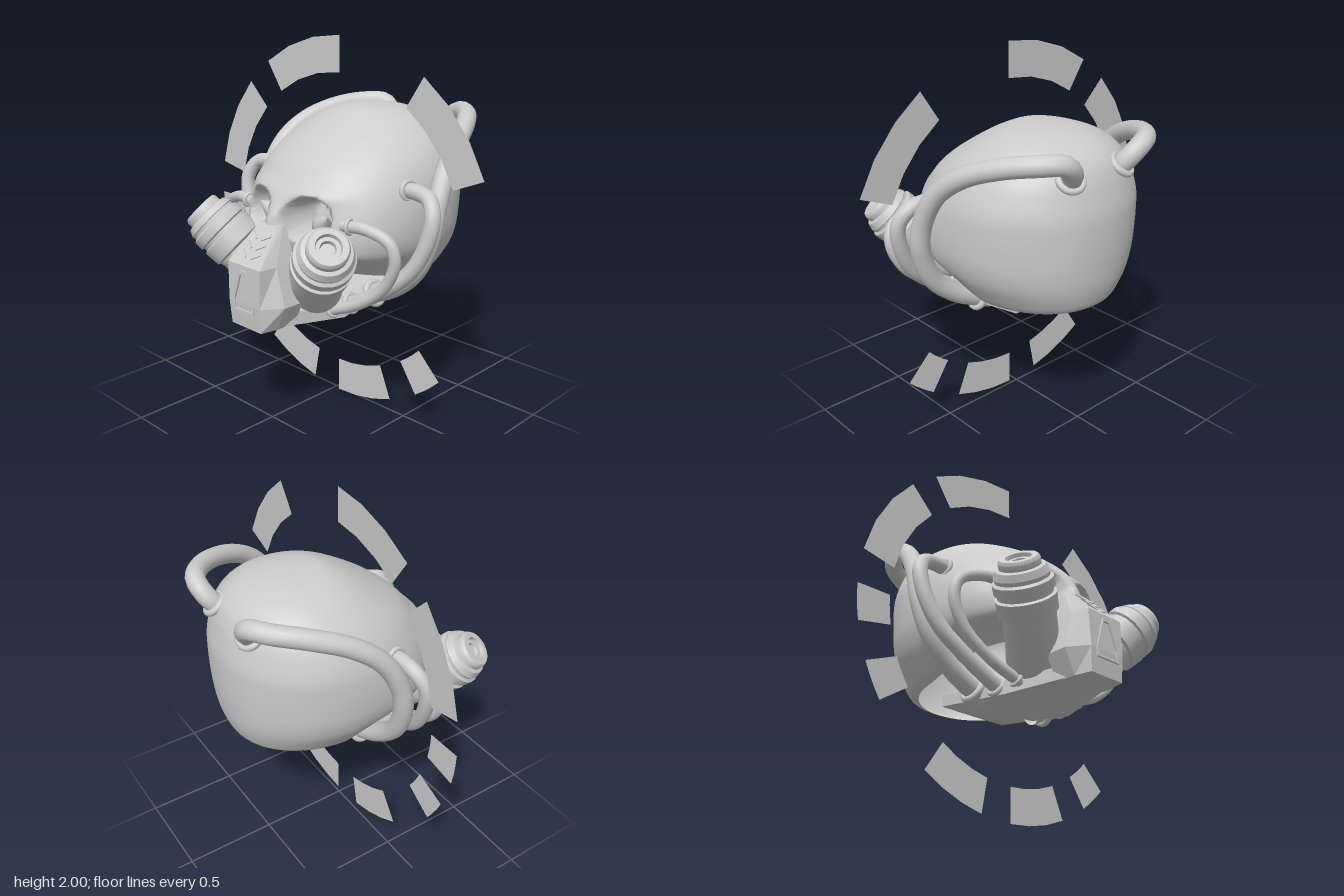
import * as THREE from 'three';
import { toCreasedNormals } from 'three/addons/utils/BufferGeometryUtils.js';

const grey = new THREE.MeshStandardMaterial({ color: 0xcccccc, side: THREE.DoubleSide });
const V = (x, y, z) => new THREE.Vector3(x, y, z);
const { lerp, smoothstep, degToRad } = THREE.MathUtils;

function add(parent, name, geometry) {
  const mesh = new THREE.Mesh(geometry, grey);
  mesh.name = name;
  parent.add(mesh);
  return mesh;
}

// Skin a stack of closed loops (counter-clockwise seen from the last loop).
// Solid lofts are faceted and capped at both ends; the others are smooth and open at the first loop.
function loft(rings, solid) {
  const n = rings[0].length, pos = [], index = [];
  const centre = r => r.reduce((s, p) => s.add(p), V(0, 0, 0)).divideScalar(n);
  rings.forEach(r => r.forEach(p => pos.push(p.x, p.y, p.z)));
  const last = rings.length - 1, c0 = rings.length * n, c1 = c0 + 1;
  pos.push(...centre(rings[0]).toArray(), ...centre(rings[last]).toArray());
  for (let i = 0; i < n; i++) {
    const j = (i + 1) % n;
    for (let k = 0; k < last; k++) {
      const a = k * n + i, b = k * n + j;
      index.push(a, b, b + n, a, b + n, a + n);
    }
    index.push(c1, last * n + i, last * n + j);
    if (solid) index.push(c0, j, i);
  }
  let g = new THREE.BufferGeometry();
  g.setAttribute('position', new THREE.Float32BufferAttribute(pos, 3));
  g.setIndex(index);
  if (solid) g = g.toNonIndexed();
  g.computeVertexNormals();
  return g;
}

// Skull: horizontal loops [y, back z, front z, half width], then eye sockets and bumps.
function skullGeometry() {
  const levels = [
    [0.73, -0.57, 0.35, 0.36], [0.76, -0.63, 0.38, 0.395], [0.82, -0.66, 0.41, 0.44],
    [0.9, -0.68, 0.43, 0.49], [0.99, -0.69, 0.44, 0.52], [1.08, -0.695, 0.45, 0.53],
    [1.18, -0.695, 0.44, 0.53], [1.27, -0.69, 0.405, 0.52], [1.36, -0.67, 0.345, 0.49],
    [1.44, -0.645, 0.25, 0.445], [1.51, -0.605, 0.145, 0.38], [1.57, -0.53, 0.045, 0.3],
    [1.61, -0.43, -0.035, 0.2], [1.63, -0.32, -0.09, 0.11], [1.638, -0.19, -0.15, 0.02]];
  const curve = f => new THREE.CatmullRomCurve3(levels.map(f), false, 'catmullrom', 0.5);
  const size = curve(l => V(l[1], l[2], l[3])), height = curve(l => V(l[0], 0, 0));
  const rows = 110, cols = 200, rings = [];
  const pow = (v, e) => Math.sign(v) * Math.abs(v) ** e;
  for (let r = 0; r <= rows; r++) {
    const s = size.getPoint(r / rows), y = height.getPoint(r / rows).x, ring = [];
    // the temples narrow towards the crown
    const high = smoothstep(y, 1.0, 1.35), mid = lerp(s.x, s.y, lerp(0.5, 0.46, high));
    for (let c = 0; c < cols; c++) {
      const a = c / cols * Math.PI * 2, front = Math.cos(a) > 0;
      const e = front ? lerp(0.78, 0.93, high) : 0.95;
      const x = s.z * pow(Math.sin(a), e);
      let z = mid + (front ? s.y - mid : mid - s.x) * pow(Math.cos(a), e);
      // the lower rim rises towards the face
      const lift = Math.max(0, z + 0.2) * 0.24 * (1 - smoothstep(y, 0.73, 1.0));
      if (front && z > 0.1) {
        const ax = Math.abs(x);
        const bump = (px, py, w, h) => Math.exp(-(((ax - px) / w) ** 2) - ((y - py) / h) ** 2);
        z += 0.085 * bump(0, 1.09, 0.085, 0.13) + 0.03 * bump(0.17, 1.25, 0.16, 0.05)
          + 0.04 * bump(0.27, 0.98, 0.09, 0.06);
        const d = Math.hypot((ax - 0.17) / 0.125, (y - 1.13) / 0.12);
        z -= 0.2 * (1 - smoothstep(d, 0.75, 1));
      }
      ring.push(V(x, y + lift, z));
    }
    rings.push(ring);
  }
  return loft(rings, false);
}

function addMask(group) {
  const mask = new THREE.Group();
  mask.name = 'mask';
  group.add(mask);
  // faceted snout: [y, half width, front half width, side z, front z]
  const levels = [[0.59, 0.13, 0.11, 0.6, 0.69], [0.72, 0.19, 0.115, 0.6, 0.7],
    [0.92, 0.135, 0.12, 0.6, 0.695], [1.1, 0.075, 0.065, 0.5, 0.53]];
  add(mask, 'maskShell', loft(levels.map(([y, w, f, zs, zf]) => [
    V(f, y, zf), V(w, y, zs), V(w, y, 0.48), V(-w, y, 0.48), V(-w, y, zs), V(-f, y, zf)]), true));
  // tapered frame on the front
  const outline = (k, b, t) => [[-0.078 * k, b], [0.078 * k, b], [0.078 * k, b + 0.05],
    [0.022 * k, t], [-0.022 * k, t], [-0.078 * k, b + 0.05]].map(p => new THREE.Vector2(...p));
  const shape = new THREE.Shape(outline(1, 0.675, 0.895));
  shape.holes.push(new THREE.Path(outline(0.82, 0.69, 0.875)));
  add(mask, 'frontFrame', new THREE.ExtrudeGeometry(shape, { depth: 0.02, bevelEnabled: false }))
    .position.z = 0.687;
  // slanted breathing slats
  for (const s of [-1, 1]) for (let i = 0; i < 3; i++) {
    const y = 0.965 + i * 0.04;
    const slat = add(mask, 'slat', new THREE.BoxGeometry(0.06, 0.012, 0.012));
    slat.position.set(s * 0.043, y, 0.693 - (y - 0.92) * 0.91);
    slat.rotation.set(-0.74, 0, s * 0.6);
  }
  // keel plate under the jaw: [z, half width, edge y, keel y, top y]
  const keel = [[-0.28, 0.22, 0.65, 0.648, 0.71], [0.22, 0.235, 0.575, 0.5, 0.64],
    [0.62, 0.11, 0.598, 0.59, 0.67]];
  add(mask, 'jawPlate', loft(keel.map(([z, w, e, k, t]) => [
    V(-w, e, z), V(0, k, z), V(w, e, z), V(w, t, z), V(-w, t, z)]), true));
}

// Banded filter canister turned about its own axis, cap centre at the origin
function canisterGeometry() {
  const profile = [[0, -0.3], [0.135, -0.3], [0.135, -0.285], [0.15, -0.275], [0.155, -0.19],
    [0.14, -0.183], [0.14, -0.165], [0.153, -0.158], [0.153, -0.11], [0.137, -0.1], [0.137, -0.085],
    [0.141, -0.08], [0.125, -0.045], [0.105, -0.04], [0.105, -0.01], [0.095, 0.005], [0.065, 0.005],
    [0.06, -0.015], [0.04, -0.015], [0.035, -0.035], [0, -0.035]];
  return toCreasedNormals(new THREE.LatheGeometry(profile.map(p => new THREE.Vector2(...p)), 40), 0.6);
}

const hoses = [
  { name: 'largeHose', r: 0.052, path: [[0.16, 1.4, -0.55], [0.195, 1.5, -0.635], [0.27, 1.565, -0.655],
    [0.37, 1.57, -0.59], [0.47, 1.545, -0.45], [0.55, 1.475, -0.27], [0.595, 1.36, -0.125],
    [0.615, 1.2, -0.035], [0.61, 1.04, 0], [0.54, 0.86, 0.015], [0.4, 0.73, 0.01], [0.17, 0.62, 0]] },
  { name: 'mediumHose', r: 0.04, path: [[0.44, 1.265, 0.03], [0.54, 1.27, 0.04], [0.63, 1.25, 0.05],
    [0.68, 1.17, 0.08], [0.66, 1.03, 0.1], [0.58, 0.88, 0.12], [0.45, 0.765, 0.145],
    [0.3, 0.67, 0.16], [0.18, 0.615, 0.16]] },
  { name: 'smallHose', r: 0.03, path: [[0.33, 1.12, 0.34], [0.47, 1.12, 0.315], [0.585, 1.07, 0.285],
    [0.61, 0.98, 0.27], [0.54, 0.83, 0.265], [0.39, 0.71, 0.28], [0.18, 0.62, 0.3]] }];

function addHose(group, { name, r, path }, s) {
  const hose = new THREE.Group();
  hose.name = name;
  group.add(hose);
  const curve = new THREE.CatmullRomCurve3(path.map(([x, y, z]) => V(s * x, y, z)));
  add(hose, 'tube', new THREE.TubeGeometry(curve, 60, r, 16));
  // collars where the hose enters the skull and the jaw plate
  for (const t of [0.045, 0.955]) {
    const collar = add(hose, 'collar', new THREE.TorusGeometry(r * 1.15, r * 0.35, 10, 24));
    collar.position.copy(curve.getPointAt(t));
    collar.quaternion.setFromUnitVectors(V(0, 0, 1), curve.getTangentAt(t));
  }
}

export function createModel() {
  const model = new THREE.Group();
  model.name = 'maskedSkull';
  const body = new THREE.Group();
  body.name = 'body';
  body.position.x = 0.037;
  model.add(body);

  add(body, 'skull', skullGeometry());
  addMask(body);

  const canister = canisterGeometry();
  const drop = [[0, -0.05], [0.032, -0.042], [0.05, -0.015], [0.046, 0.015], [0.025, 0.06], [0, 0.095]];
  const eye = new THREE.LatheGeometry(drop.map(p => new THREE.Vector2(...p)), 24);
  for (const s of [-1, 1]) {
    // teardrop eyes
    const e = add(body, 'eye', eye);
    e.position.set(s * 0.18, 1.09, 0.33);
    e.quaternion.setFromUnitVectors(V(0, 1, 0), V(s * 0.72, 0.6, 0.35).normalize());
    // filters on a bent neck that rounds off against the mask
    const axis = V(s * 0.62, 0.68, 0.39).normalize();
    const c = add(body, 'filter', canister);
    c.position.set(s * 0.48, 1.1, 0.585);
    c.quaternion.setFromUnitVectors(V(0, 1, 0), axis);
    const end = V(s * 0.16, 0.76, 0.35);
    const bend = new THREE.QuadraticBezierCurve3(
      c.position.clone().addScaledVector(axis, -0.27), c.position.clone().addScaledVector(axis, -0.38), end);
    add(body, 'filterNeck', new THREE.TubeGeometry(bend, 12, 0.134, 32));
    add(body, 'filterElbow', new THREE.SphereGeometry(0.134, 32, 20)).position.copy(end);
    hoses.forEach(h => addHose(body, h, s));
  }

  // broken ring of flat plates around the head: [start in degrees, steps of 11.25 degrees]
  const ring = new THREE.Group();
  ring.name = 'brokenRing';
  ring.position.set(0, 1, 0.02);
  body.add(ring);
  const step = Math.PI / 16;
  for (const [start, n] of [[22.5, 3], [90, 3], [135, 3], [180, 1], [202.5, 1], [236.25, 2], [270, 2], [303.75, 1]])
    add(ring, 'ringPlate', new THREE.RingGeometry(0.81, 1, n, 1, degToRad(start), n * step));
  return model;
}
